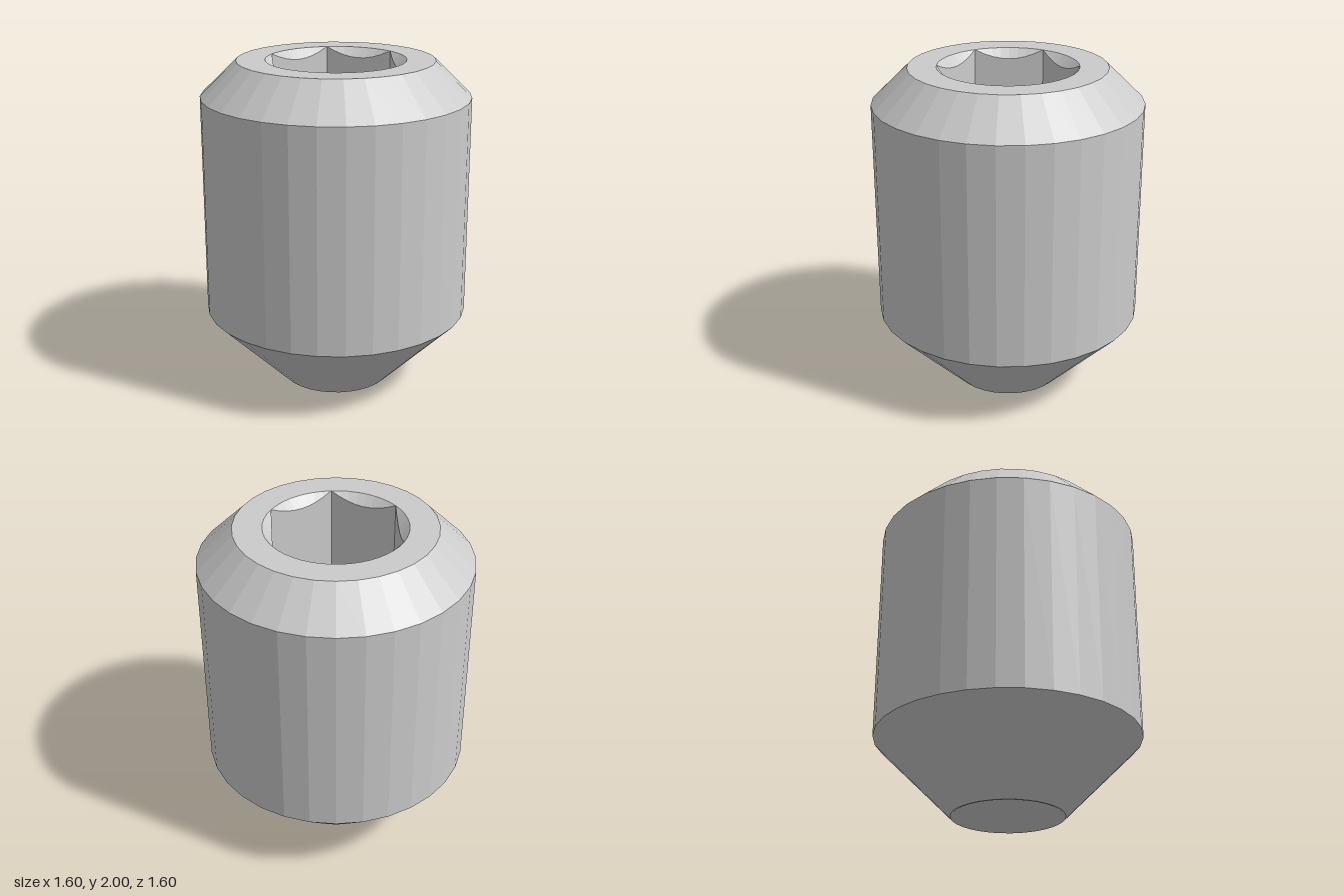
import * as THREE from 'three';

const SIDES = 32;          // facets around the body
const SOCKET_STEPS = 48;   // eight steps per hexagon side
const TOP = 2, TOP_R = 0.585, HEX_R = 0.415, SOCKET_DEPTH = 0.65;

const material = new THREE.MeshStandardMaterial({ color: 0xcccccc, flatShading: true });

function part(name, geometry) {
  const mesh = new THREE.Mesh(geometry, material);
  mesh.name = name;
  return mesh;
}

// Radius of the hexagon at an angle, with corners on the x axis
function hexRadius(angle) {
  const sector = Math.PI / 3;
  const offset = ((angle % sector) + sector) % sector - sector / 2;
  return HEX_R * Math.cos(sector / 2) / Math.cos(offset);
}

// Countersink and hexagonal walls, as three loops joined into strips
function socketGeometry() {
  const positions = [], index = [];
  for (let i = 0; i <= SOCKET_STEPS; i++) {
    const a = (i / SOCKET_STEPS) * Math.PI * 2;
    const r = hexRadius(a);
    const loops = [[HEX_R, TOP], [r, TOP - (HEX_R - r)], [r, TOP - SOCKET_DEPTH]];
    for (const [radius, y] of loops) positions.push(radius * Math.cos(a), y, radius * Math.sin(a));
  }
  for (let i = 0; i < SOCKET_STEPS; i++) {
    for (let row = 0; row < 2; row++) {
      const a = i * 3 + row, b = a + 3;
      index.push(a, a + 1, b, b, a + 1, b + 1);
    }
  }
  const g = new THREE.BufferGeometry();
  g.setAttribute('position', new THREE.Float32BufferAttribute(positions, 3));
  g.setIndex(index);
  g.computeVertexNormals();
  return g;
}

// Points of a regular polygon for shapes
function polygon(radius, count) {
  return Array.from({ length: count }, (_, i) => {
    const a = (i / count) * Math.PI * 2;
    return new THREE.Vector2(radius * Math.cos(a), radius * Math.sin(a));
  });
}

export function createModel() {
  const group = new THREE.Group();
  group.name = 'setScrew';

  // Cup point, lower cone, cylinder and top chamfer in one profile
  const profile = [
    [0, 0.18], [0.325, 0], [0.335, 0], [0.8, 0.465], [0.8, 1.79], [TOP_R, TOP],
  ].map(([x, y]) => new THREE.Vector2(x, y));
  group.add(part('body', new THREE.LatheGeometry(profile, SIDES)));

  // Flat ring around the socket
  const ring = new THREE.Shape(polygon(TOP_R, SIDES));
  ring.holes.push(new THREE.Path(polygon(HEX_R, SOCKET_STEPS)));
  const topFace = part('topFace', new THREE.ShapeGeometry(ring).rotateX(-Math.PI / 2));
  topFace.position.y = TOP;
  group.add(topFace);

  // Hexagonal drive socket
  group.add(part('socketWalls', socketGeometry()));
  const floor = part('socketFloor', new THREE.CircleGeometry(HEX_R, 6).rotateX(-Math.PI / 2));
  floor.position.y = TOP - SOCKET_DEPTH;
  group.add(floor);

  return group;
}
